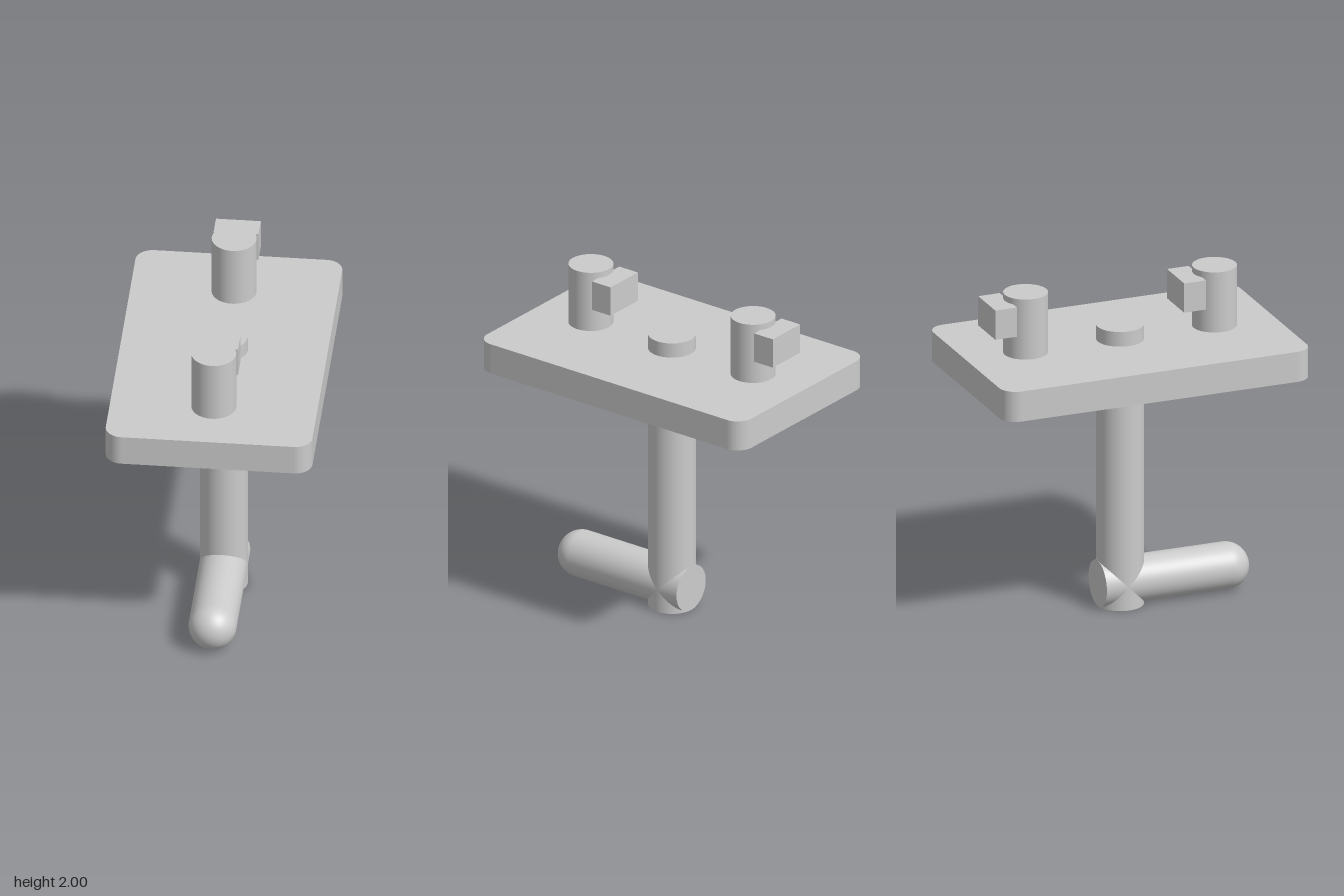
import * as THREE from 'three';

export function createModel() {
  const model = new THREE.Group();
  const material = new THREE.MeshStandardMaterial({ color: 0xcccccc });
  const add = (name, geometry, x = 0, y = 0, z = 0, parent = model) => {
    const mesh = new THREE.Mesh(geometry, material);
    mesh.name = name;
    mesh.position.set(x, y, z);
    parent.add(mesh);
    return mesh;
  };
  const R = 0.139; // radius of the crank rods

  // Pedal plate: rounded rectangle, extruded upwards
  const w = 0.6, d = 0.96, r = 0.1;
  const outline = new THREE.Shape();
  outline.absarc(w - r, d - r, r, 0, Math.PI / 2);
  outline.absarc(r - w, d - r, r, Math.PI / 2, Math.PI);
  outline.absarc(r - w, r - d, r, Math.PI, Math.PI * 1.5);
  outline.absarc(w - r, r - d, r, Math.PI * 1.5, Math.PI * 2);
  outline.closePath();
  const plate = new THREE.ExtrudeGeometry(outline, { depth: 0.185, bevelEnabled: false, curveSegments: 12 });
  plate.rotateX(-Math.PI / 2);
  add('plate', plate, 0, 1.445, 0);

  // Upright shaft passing through the plate
  add('shaft', new THREE.CylinderGeometry(R, R, 1.72, 64), 0, 0.86, 0);

  // Horizontal arm: flat at the back, domed at the front
  const profile = [new THREE.Vector2(0, -R), new THREE.Vector2(R, -R)];
  const armGeometry = new THREE.CylinderGeometry(R, R, 0.656 + R, 64);
  armGeometry.rotateX(Math.PI / 2);
  add('arm', armGeometry, 0, R, (0.656 - R) / 2);
  const dome = new THREE.SphereGeometry(R, 64, 20, 0, Math.PI * 2, 0, Math.PI / 2);
  dome.rotateX(Math.PI / 2);
  add('armTip', dome, 0, R, 0.656);

  // Two pegs, each with a block on its rear side
  for (const [name, z] of [['frontPeg', 0.59], ['backPeg', -0.59]]) {
    const peg = new THREE.Group();
    peg.name = name;
    peg.position.z = z;
    model.add(peg);
    add('post', new THREE.CylinderGeometry(0.13, 0.13, 0.37, 64), 0, 1.815, 0, peg);
    add('block', new THREE.BoxGeometry(0.26, 0.18, 0.135), 0, 1.873, -0.175, peg);
  }
  return model;
}
